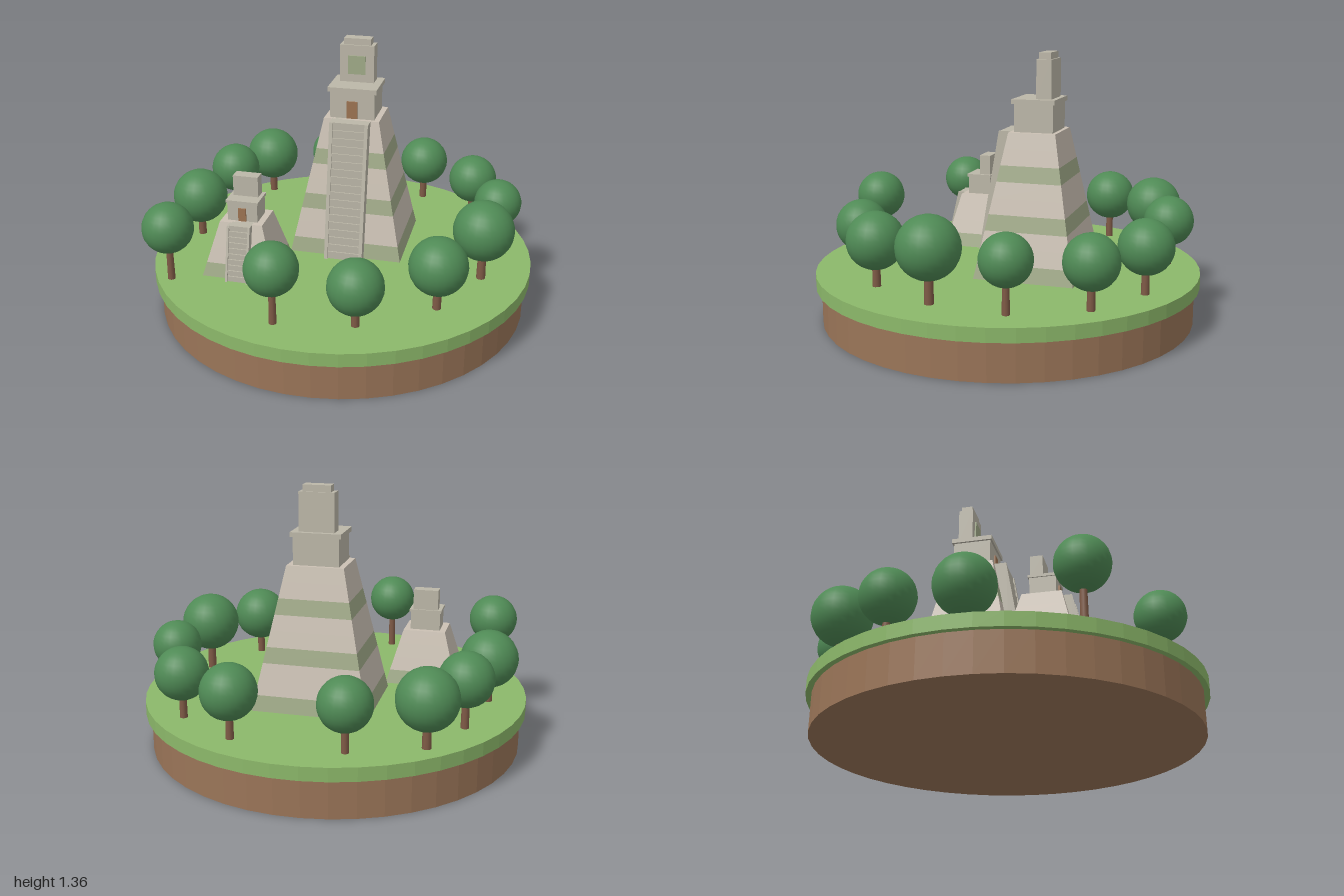
import * as THREE from 'three';

const mat = (name, color) => {
  const m = new THREE.MeshStandardMaterial({ color });
  m.name = name;
  return m;
};

export function createModel() {
  const M = {
    grass: mat('grass', 0x8cb86a),
    soil: mat('soil', 0x9a7558),
    limestone: mat('limestone', 0xcbc1b4),
    moss: mat('mossy stone', 0xa0aa88),
    stone: mat('grey stone', 0xbcb7a8),
    door: mat('door brown', 0x9c7352),
    leaf: mat('leaf green', 0x4f8a55),
    bark: mat('bark', 0x7f5a46),
  };
  const soilFlat = M.soil, grassFlat = M.grass;
  soilFlat.flatShading = grassFlat.flatShading = true;

  const model = new THREE.Group();
  model.name = 'templeIsland';

  const add = (parent, name, geo, material, x = 0, y = 0, z = 0) => {
    const m = new THREE.Mesh(geo, material);
    m.name = name;
    m.position.set(x, y, z);
    parent.add(m);
    return m;
  };

  // Box standing on y = 0
  const block = (w, h, d) => new THREE.BoxGeometry(w, h, d).translate(0, h / 2, 0);

  // Box standing on y = 0 whose top is resized and shifted along z
  const tapered = (w0, d0, w1, d1, h, shift = 0) => {
    const g = block(1, h, 1);
    const p = g.attributes.position;
    for (let i = 0; i < p.count; i++) {
      const top = p.getY(i) > h / 2;
      p.setX(i, p.getX(i) * (top ? w1 : w0));
      p.setZ(i, p.getZ(i) * (top ? d1 : d0) + (top ? shift : 0));
    }
    g.computeVertexNormals();
    return g;
  };

  // Round island
  const ground = 0.26, cx = 0.012;
  add(model, 'soilBase', new THREE.CylinderGeometry(0.957, 0.957, 0.195, 48), M.soil, cx, 0.0975, 0);
  add(model, 'grassDisc', new THREE.CylinderGeometry(0.985, 0.985, 0.068, 48), M.grass, cx, 0.226, 0);

  // Stepped temple: tiers, stair, shrine, roof comb
  function temple(name, o) {
    const g = new THREE.Group();
    g.name = name;
    g.position.set(o.x, ground, o.z);
    g.rotation.y = -0.345;
    model.add(g);

    // Sloping body in equal tiers
    const th = o.h / o.tiers;
    const mix = (a, b, i) => a + (b - a) * i / o.tiers;
    for (let i = 0; i < o.tiers; i++) {
      const [w0, d0, w1, d1] = [i, i + 1].flatMap(k => [mix(o.base[0], o.top[0], k), mix(o.base[1], o.top[1], k)]);
      add(g, 'tier' + (i + 1), tapered(w0, d0, w1, d1, th), o.mossy.includes(i) ? M.moss : M.limestone, 0, i * th, 0);
    }

    // Front stair between two sloping side walls
    const s = o.stair, sh = o.h / s.steps, wall = s.w * 0.09, deep = s.deep;
    for (let i = 0; i < s.steps; i++) {
      const front = s.z0 + (s.z1 - s.z0) * (i + 1) / s.steps;
      add(g, 'step' + (i + 1), block(s.w - 2 * wall, sh, deep), M.stone, 0, i * sh, front - deep / 2);
    }
    for (const side of [-1, 1]) {
      add(g, side > 0 ? 'leftStairWall' : 'rightStairWall',
        tapered(wall, deep, wall, deep, o.h, s.z1 - s.z0), M.stone,
        side * (s.w - wall) / 2, 0, s.z0 + 0.004 - deep / 2);
    }

    // Shrine with roof slab and doorway
    const [sw, shh, sd] = o.shrine, [rw, rh, rd] = o.roof;
    add(g, 'shrine', block(sw, shh, sd), M.stone, 0, o.h, 0);
    add(g, 'shrineRoof', block(rw, rh, rd), M.stone, 0, o.h + shh, 0);
    add(g, 'door', block(o.door[0], o.door[1], 0.009), M.door, 0, o.h + 0.002, sd / 2 + 0.0035);

    // Roof comb
    const [cw, ch, cd] = o.comb, cy = o.h + shh + rh;
    add(g, 'roofComb', block(cw, ch, cd), M.stone, 0, cy, o.combZ);
    if (o.cap) {
      add(g, 'combCap', block(...o.cap), M.stone, 0, cy + ch, o.combZ);
      add(g, 'combPanel', block(0.09, 0.096, 0.009), M.moss, 0, cy + 0.043, o.combZ + cd / 2 + 0.0035);
    }
  }

  temple('greatTemple', {
    x: 0.099, z: -0.155, h: 0.713, tiers: 9, mossy: [0, 3, 6],
    base: [0.585, 0.506], top: [0.287, 0.238],
    stair: { w: 0.2, z0: 0.3, z1: 0.178, steps: 18, deep: 0.1 },
    shrine: [0.23, 0.138, 0.198], roof: [0.254, 0.024, 0.217], door: [0.055, 0.09],
    comb: [0.177, 0.193, 0.077], combZ: -0.045, cap: [0.14, 0.033, 0.06],
  });
  temple('smallTemple', {
    x: -0.489, z: 0.12, h: 0.28, tiers: 4, mossy: [0],
    base: [0.38, 0.323], top: [0.22, 0.185],
    stair: { w: 0.118, z0: 0.194, z1: 0.128, steps: 10, deep: 0.075 },
    shrine: [0.155, 0.095, 0.125], roof: [0.168, 0.014, 0.137], door: [0.04, 0.068],
    comb: [0.13, 0.106, 0.06], combZ: -0.03,
  });

  // Ring of round trees: x, z, crown radius, crown height
  const trees = [
    [-0.318, -0.818, 0.147, 0.495], [0.051, -0.829, 0.128, 0.49], [-0.54, -0.607, 0.134, 0.503],
    [-0.733, -0.275, 0.145, 0.485], [-0.877, 0.219, 0.128, 0.543], [0.561, -0.623, 0.134, 0.49],
    [0.786, -0.342, 0.131, 0.485], [0.829, 0.037, 0.123, 0.51], [0.668, 0.38, 0.152, 0.525],
    [0.39, 0.644, 0.142, 0.487], [-0.013, 0.754, 0.134, 0.465], [-0.39, 0.69, 0.128, 0.545],
  ];
  trees.forEach(([x, z, r, y], i) => {
    const t = new THREE.Group();
    t.name = 'tree' + (i + 1);
    t.position.set(x, ground, z);
    model.add(t);
    const h = y - ground;
    add(t, 'trunk', new THREE.CylinderGeometry(r * 0.12, r * 0.15, h, 10), M.bark, 0, h / 2, 0);
    add(t, 'crown', new THREE.SphereGeometry(r, 24, 16), M.leaf, 0, h, 0);
  });

  return model;
}
